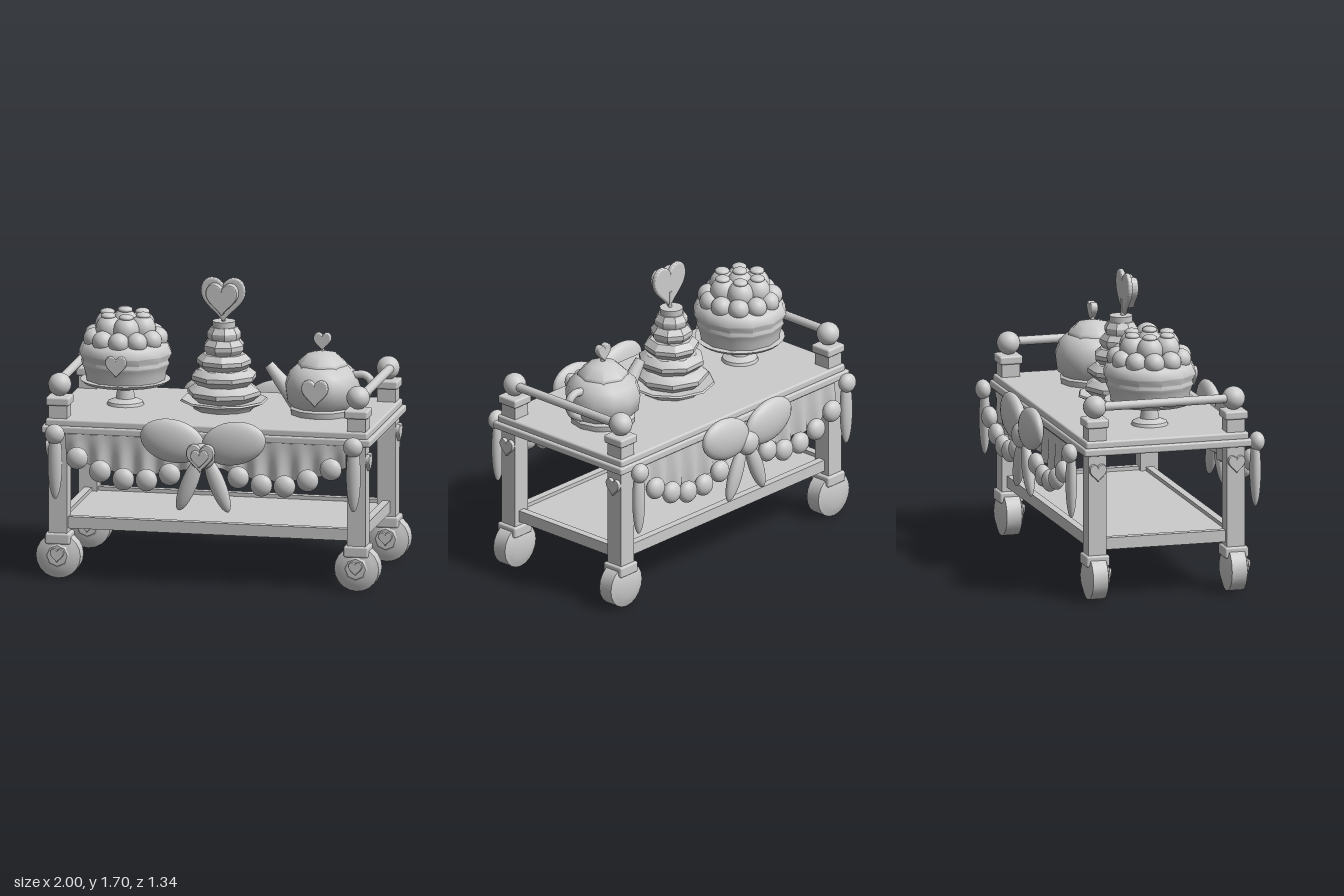
import * as THREE from 'three';
import { RoundedBoxGeometry } from 'three/addons/geometries/RoundedBoxGeometry.js';
import { toCreasedNormals } from 'three/addons/utils/BufferGeometryUtils.js';

const ZC = -0.022; // middle of the trolley in depth
const FRONT = 0.39, BACK = -0.435; // leg positions in depth
const porcelain = new THREE.MeshStandardMaterial({ color: 0xcccccc });
porcelain.name = 'porcelain grey';
const cloth = porcelain.clone();
cloth.name = 'cloth grey';
cloth.side = THREE.DoubleSide;

export function createModel() {
  const root = new THREE.Group();
  root.name = 'dessertTrolley';

  const group = (name) => {
    const g = new THREE.Group();
    g.name = name;
    root.add(g);
    return g;
  };
  const add = (parent, name, geo, x = 0, y = 0, z = 0, mat = porcelain) => {
    const m = new THREE.Mesh(geo, mat);
    m.name = name;
    m.position.set(x, y, z);
    parent.add(m);
    return m;
  };
  const box = (p, name, w, h, d, x, y, z) => add(p, name, new THREE.BoxGeometry(w, h, d), x, y, z);
  const rbox = (p, name, w, h, d, x, y, z) => add(p, name, new RoundedBoxGeometry(w, h, d, 2, 0.012), x, y, z);
  const ball = (p, name, rx, ry, rz, x, y, z) => {
    const m = add(p, name, new THREE.SphereGeometry(1, 24, 16), x, y, z);
    m.scale.set(rx, ry, rz);
    return m;
  };
  const lathe = (p, name, pts, sides, x, z, crease = 0.7) =>
    add(p, name, toCreasedNormals(new THREE.LatheGeometry(pts.map(([r, y]) => new THREE.Vector2(r, y)), sides), crease), x, 0, z);

  // Bevelled heart, one unit wide, facing +z
  const s = new THREE.Shape();
  s.moveTo(0, -0.46);
  s.bezierCurveTo(0.12, -0.26, 0.46, -0.1, 0.46, 0.17);
  s.bezierCurveTo(0.46, 0.5, 0.1, 0.52, 0, 0.22);
  s.bezierCurveTo(-0.1, 0.52, -0.46, 0.5, -0.46, 0.17);
  s.bezierCurveTo(-0.46, -0.1, -0.12, -0.26, 0, -0.46);
  const heartGeo = new THREE.ExtrudeGeometry(s, {
    depth: 0.4, bevelThickness: 0.3, bevelSize: 0.05, bevelSegments: 3, curveSegments: 10,
  }).translate(0, 0, -0.2);
  const heart = (p, name, w, d, x, y, z, turn = 0) => {
    const m = add(p, name, heartGeo, x, y, z);
    m.scale.set(w, w, d);
    m.rotation.y = turn;
    return m;
  };

  // Table top and lower shelf
  const frame = group('frame');
  rbox(frame, 'tableEdge', 1.92, 0.045, 1.0, 0, 0.872, ZC);
  rbox(frame, 'tableTop', 1.88, 0.045, 0.97, 0, 0.91, ZC);
  box(frame, 'tableCore', 1.86, 0.06, 0.95, 0, 0.89, ZC);
  box(frame, 'shelf', 1.72, 0.025, 0.82, 0, 0.322, ZC);
  for (const z of [FRONT, BACK]) box(frame, 'longRail', 1.66, 0.068, 0.045, 0, 0.322, z);

  for (const side of [-1, 1]) {
    const x = side * 0.87;
    box(frame, 'shortRail', 0.045, 0.068, 0.76, x, 0.322, ZC);
    const bar = add(frame, 'handleBar', new THREE.CylinderGeometry(0.026, 0.026, 0.8, 16), side * 0.888, 1.125, ZC);
    bar.rotation.x = Math.PI / 2;

    for (const z of [FRONT, BACK]) {
      // Leg, cap and finial
      const leg = group('leg');
      box(leg, 'post', 0.107, 0.85, 0.107, x, 0.605, z);
      rbox(leg, 'postCap', 0.138, 0.05, 0.138, x, 1.032, z);
      ball(leg, 'finial', 0.067, 0.067, 0.067, x, 1.122, z);
      rbox(leg, 'wheelCollar', 0.145, 0.065, 0.14, x, 0.232, z);
      heart(leg, 'legHeart', 0.1, 0.03, side * 0.93, 0.75, z, side * Math.PI / 2);

      // Wheel with hub and heart
      const wheel = group('wheel');
      const tyre = lathe(wheel, 'tyre',
        [[0, -0.066], [0.07, -0.066], [0.1, -0.056], [0.13, -0.045], [0.13, 0.045], [0.1, 0.056], [0.07, 0.066], [0, 0.066]],
        20, x, z, 0.9);
      tyre.position.y = 0.13;
      tyre.rotation.x = Math.PI / 2;
      const hub = add(wheel, 'hub', new THREE.CylinderGeometry(0.06, 0.075, 0.014, 8), x, 0.135, z + 0.068);
      hub.rotation.x = Math.PI / 2;
      heart(wheel, 'wheelHeart', 0.078, 0.025, x, 0.14, z + 0.078);
    }
  }

  // Cloth, beads, tassels and bow on the front and back
  for (const dir of [1, -1]) {
    const name = dir > 0 ? 'front' : 'back';
    const deco = group(name + 'Garland');
    const at = (d) => (dir > 0 ? d : -d - 0.055); // distance outward to z

    const drape = new THREE.PlaneGeometry(1.64, 0.2, 120, 6);
    const pos = drape.attributes.position;
    for (let i = 0; i < pos.count; i++) {
      const x = pos.getX(i), t = 0.5 - pos.getY(i) / 0.2;
      const u = (Math.abs(x) - 0.4) / 0.42;
      const hem = 0.63 + 0.1 * u * u;
      pos.setXYZ(i, x, 0.86 + (hem - 0.86) * t, 0.018 * t * Math.sin(x * 48));
    }
    drape.computeVertexNormals();
    add(deco, 'drape', drape, 0, 0, at(0.475), cloth);

    for (const side of [-1, 1]) {
      [[0.74, 0.725], [0.605, 0.655], [0.47, 0.615], [0.335, 0.615], [0.2, 0.655]].forEach(([x, y]) =>
        ball(deco, 'bead', 0.064, 0.064, 0.045, side * x, y, at(0.53)));
      ball(deco, 'cornerBead', 0.057, 0.057, 0.045, side * 0.87, 0.86, at(0.53));
      ball(deco, 'tassel', 0.042, 0.21, 0.032, side * 0.87, 0.69, at(0.52));
      const loop = ball(deco, 'bowLoop', 0.19, 0.125, 0.055, side * 0.178, 0.857, at(0.555));
      loop.rotation.z = side * 0.2;
      const tail = ball(deco, 'bowTail', 0.048, 0.17, 0.035, side * 0.083, 0.61, at(0.545));
      tail.rotation.z = side * 0.38;
    }
    ball(deco, 'bowKnot', 0.077, 0.075, 0.055, 0, 0.78, at(dir > 0 ? 0.585 : 0.56));
  }
  const badge = group('bowHeart');
  heart(badge, 'heartBase', 0.16, 0.05, 0, 0.78, 0.625);
  heart(badge, 'heartInset', 0.1, 0.04, 0, 0.78, 0.65);

  // Berry cake on a pedestal
  const cake = group('berryCake');
  const cx = -0.575;
  lathe(cake, 'cakeStand', [[0, 0.93], [0.107, 0.93], [0.1, 0.95], [0.055, 0.97], [0.047, 1.02], [0.09, 1.06],
    [0.24, 1.064], [0.258, 1.082], [0.2, 1.086], [0, 1.086]], 28, cx, ZC);
  lathe(cake, 'cakeBody', [[0, 1.08], [0.23, 1.08], [0.238, 1.13], [0.25, 1.165], [0.258, 1.18], [0.25, 1.2],
    [0.272, 1.24], [0.25, 1.29], [0.2, 1.31], [0, 1.32]], 12, cx, ZC, 0.9);
  heart(cake, 'cakeHeart', 0.12, 0.03, cx, 1.205, 0.235);
  for (let i = 0; i < 11; i++) {
    const a = (i / 11) * Math.PI * 2;
    ball(cake, 'outerBerry', 0.06, 0.06, 0.06, cx + 0.185 * Math.sin(a), 1.325, ZC + 0.185 * Math.cos(a));
  }
  for (let i = 0; i < 6; i++) {
    const a = (i / 6) * Math.PI * 2 + 0.25;
    const sx = Math.sin(a), cz = Math.cos(a);
    ball(cake, 'innerBerry', 0.075, 0.08, 0.075, cx + 0.112 * sx, 1.385, ZC + 0.112 * cz);
    ball(cake, 'creamDot', 0.042, 0.02, 0.042, cx + 0.115 * sx, 1.46, ZC + 0.115 * cz);
  }
  ball(cake, 'centreBerry', 0.075, 0.08, 0.075, cx, 1.405, ZC);
  ball(cake, 'centreDot', 0.042, 0.02, 0.042, cx, 1.483, ZC);

  // Tiered tower with heart topper
  const tower = group('tierTower');
  lathe(tower, 'towerPlate', [[0, 0.93], [0.17, 0.93], [0.18, 0.95], [0.252, 0.982], [0.245, 0.992], [0.15, 0.98], [0, 0.98]], 10, 0, ZC);
  [[1.03, 0.212], [1.122, 0.192], [1.21, 0.158], [1.295, 0.122], [1.365, 0.098]].forEach(([y, r], i) => {
    const tier = lathe(tower, 'tier', [[0, -0.05], [r * 0.78, -0.05], [r, -0.012], [r, 0.012], [r * 0.78, 0.045], [0, 0.05]], 8, 0, ZC, 0.5);
    tier.position.y = y;
    tier.rotation.y = i * 0.45;
  });
  add(tower, 'towerCap', new THREE.CylinderGeometry(0.068, 0.066, 0.05, 12), 0, 1.42, ZC);
  add(tower, 'topperStick', new THREE.CylinderGeometry(0.012, 0.012, 0.12, 10), 0, 1.48, ZC + 0.01);
  heart(tower, 'topperHeart', 0.255, 0.03, 0, 1.578, -0.003);
  heart(tower, 'topperInset', 0.185, 0.055, 0, 1.582, 0.03);

  // Teapot
  const pot = group('teapot');
  const px = 0.575;
  lathe(pot, 'potBody', [[0, 0.93], [0.185, 0.93], [0.19, 0.965], [0.172, 0.975], [0.208, 1.01], [0.22, 1.1],
    [0.195, 1.17], [0.145, 1.215], [0, 1.22]], 12, px, ZC, 0.8);
  lathe(pot, 'potLid', [[0, 1.2], [0.148, 1.2], [0.143, 1.23], [0.085, 1.28], [0.03, 1.292], [0, 1.3]], 8, px, ZC, 0.8);
  add(pot, 'knobStem', new THREE.CylinderGeometry(0.01, 0.014, 0.05, 10), px, 1.305, ZC);
  heart(pot, 'lidHeart', 0.1, 0.04, px, 1.352, ZC);
  heart(pot, 'potHeart', 0.152, 0.035, px, 1.092, 0.19);
  // Spout tapers towards its tip
  const spout = add(pot, 'spout', new THREE.CylinderGeometry(0.03, 0.058, 0.27, 12), 0.345, 1.095, ZC);
  spout.rotation.z = 0.68;
  const grip = new THREE.CatmullRomCurve3([[0.74, 1.16], [0.82, 1.165], [0.857, 1.13], [0.84, 1.06], [0.76, 1.0]]
    .map(([x, y]) => new THREE.Vector3(x, y, ZC)));
  add(pot, 'potHandle', new THREE.TubeGeometry(grip, 24, 0.024, 10));

  return root;
}
